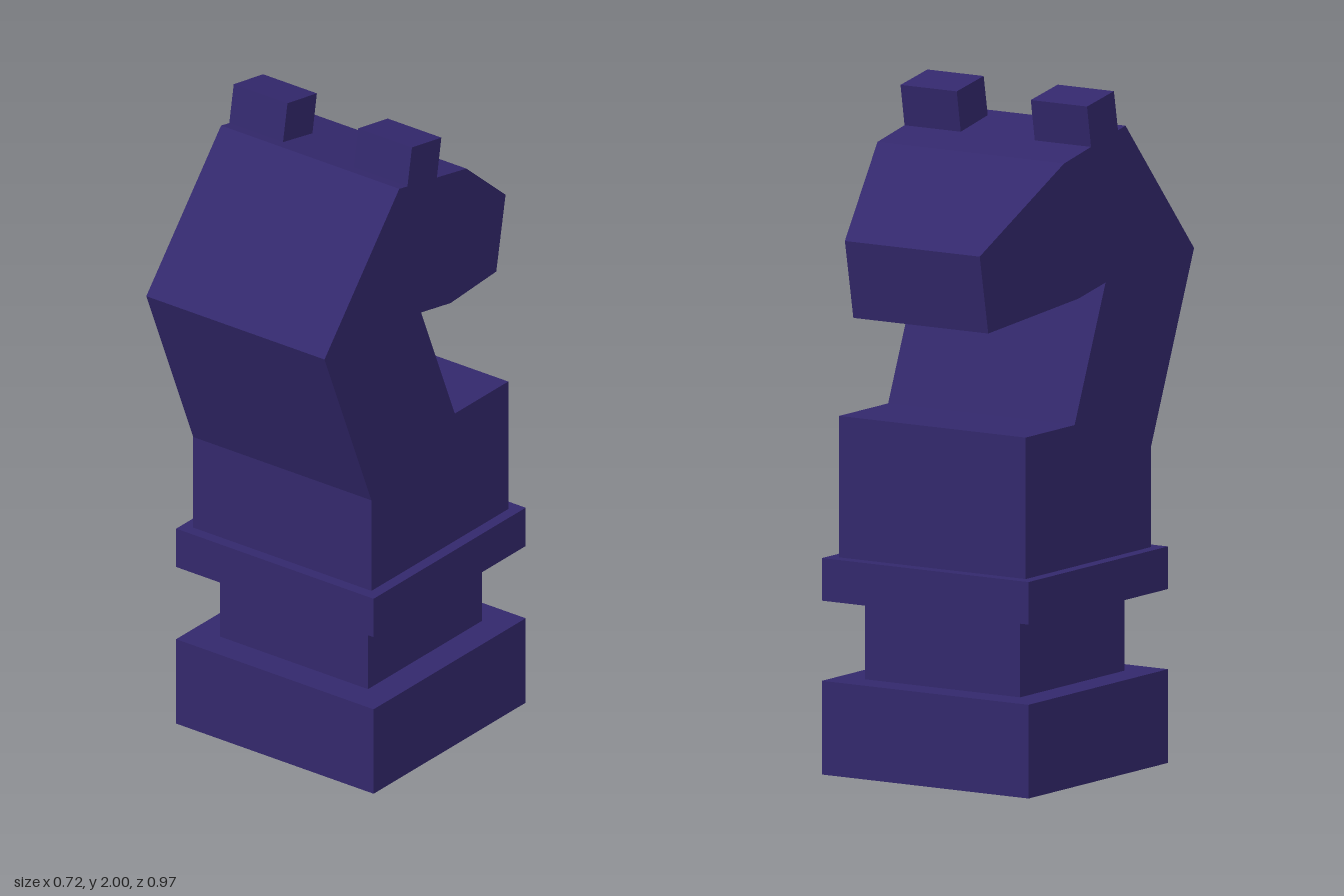
import * as THREE from 'three';

// Extrudes a side profile of [z, y] points along x, centred on xMid
function sideExtrude(points, width, xMid = 0) {
  const shape = new THREE.Shape(points.map(([z, y]) => new THREE.Vector2(z, y)));
  const geo = new THREE.ExtrudeGeometry(shape, { depth: width, bevelEnabled: false });
  geo.translate(0, 0, -width / 2);
  geo.rotateY(-Math.PI / 2);
  geo.translate(xMid, 0, 0);
  return geo;
}

export function createModel() {
  const group = new THREE.Group();
  const indigo = new THREE.MeshStandardMaterial({ color: 0x33286c });
  indigo.name = 'indigo';

  const add = (name, geo) => {
    const mesh = new THREE.Mesh(geo, indigo);
    mesh.name = name;
    group.add(mesh);
  };

  // Square stepped pedestal: plinth, waist, collar
  const tiers = [
    ['plinth', 0.72, 0, 0.275],
    ['waist', 0.54, 0.275, 0.51],
    ['collar', 0.72, 0.51, 0.635],
  ];
  for (const [name, size, y0, y1] of tiers) {
    const geo = new THREE.BoxGeometry(size, y1 - y0, size);
    geo.translate(0, (y0 + y1) / 2, -0.06);
    add(name, geo);
  }

  // Chest, bent neck and back of the head
  add('neckAndHead', sideExtrude([
    [0.265, 0.635], [0.265, 0.93], [0.487, 1.48], [0.133, 1.89], [-0.185, 1.825],
    [-0.11, 1.418], [0.03, 1.445], [-0.13, 1.05], [-0.383, 1.05], [-0.383, 0.635],
  ], 0.65));

  // Muzzle, narrowing towards its tip
  const muzzle = sideExtrude([
    [-0.185, 1.825], [-0.487, 1.587], [-0.443, 1.355], [-0.11, 1.418],
  ], 0.65);
  const pos = muzzle.attributes.position;
  for (let i = 0; i < pos.count; i++) {
    if (pos.getZ(i) < -0.3) pos.setX(i, pos.getX(i) * 0.235 / 0.325);
  }
  muzzle.computeVertexNormals();
  add('muzzle', muzzle);

  // Tilted block ears
  for (const [name, side] of [['leftEar', 1], ['rightEar', -1]]) {
    add(name, sideExtrude([
      [0.073, 2], [-0.066, 1.975], [-0.045, 1.852], [0.095, 1.878],
    ], 0.196, side * 0.227));
  }

  return group;
}
